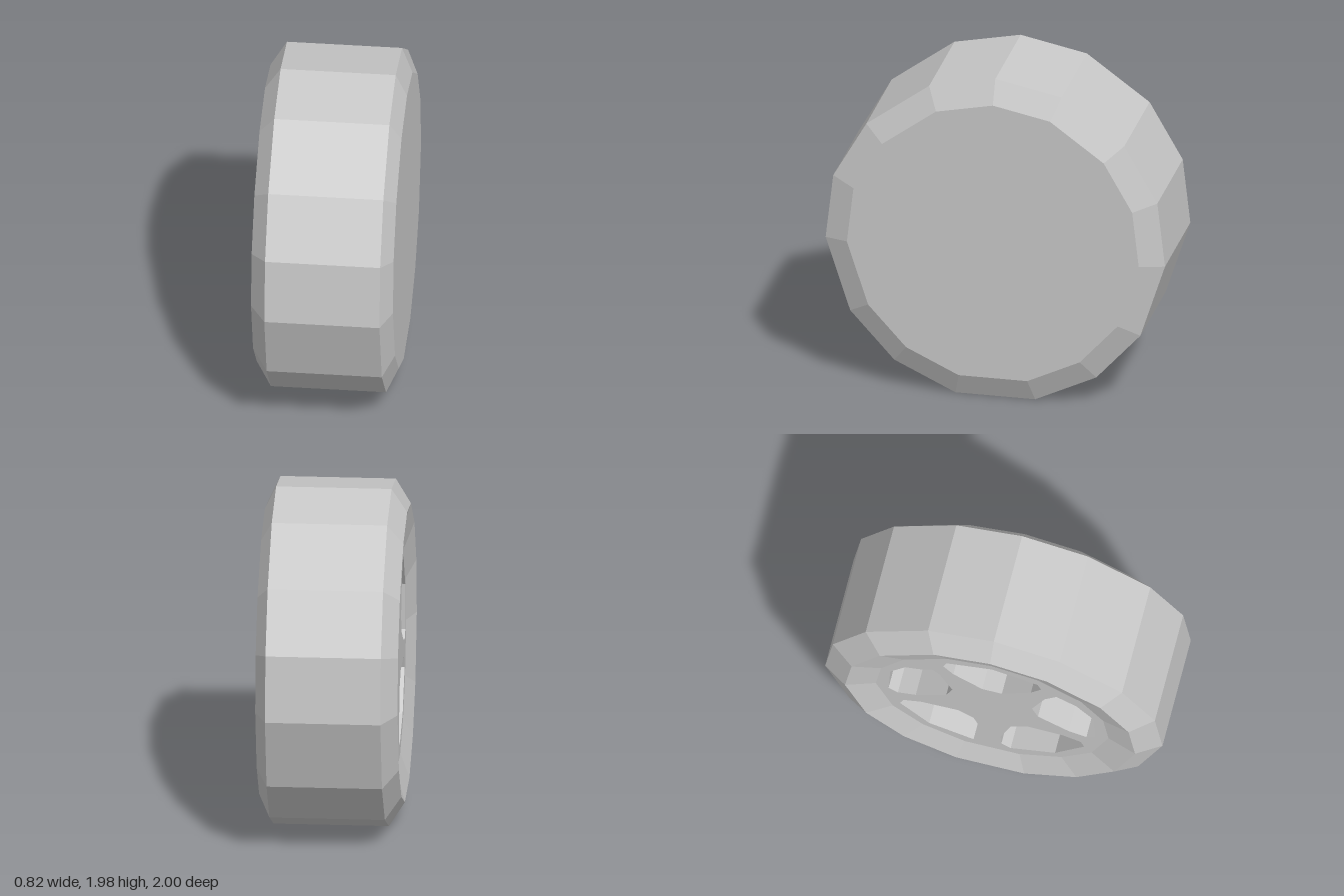
import * as THREE from 'three';

const CENTRE_Y = 0.98;

// Half of the 15-sided tread outline as [z, y - centre], top to bottom
const HALF = [[0.39, 0.92], [0.76, 0.65], [0.955, 0.31], [1, -0.08], [0.855, -0.525], [0.595, -0.81], [0.235, -0.98]];
const OUTLINE = [[0, 1], ...HALF, ...HALF.slice().reverse().map(([z, y]) => [-z, y])];

// Flat-shaded skin through scaled outlines, given as [x, scale] from +x to -x
function loft(profile) {
  const pos = [];
  const point = ([x, s], i) => {
    const [z, y] = OUTLINE[i % OUTLINE.length];
    return [x, y * s, z * s];
  };
  for (let j = 0; j < profile.length - 1; j++) {
    for (let i = 0; i < OUTLINE.length; i++) {
      const a = point(profile[j], i), b = point(profile[j], i + 1);
      const c = point(profile[j + 1], i), d = point(profile[j + 1], i + 1);
      if (profile[j][1] > 0) pos.push(...a, ...c, ...b);
      pos.push(...b, ...c, ...d);
    }
  }
  const geo = new THREE.BufferGeometry();
  geo.setAttribute('position', new THREE.Float32BufferAttribute(pos, 3));
  geo.computeVertexNormals();
  return geo;
}

// One wheel opening, between two neighbouring spokes
function windowPath(angle) {
  const half = Math.PI / 5;
  const edge = [[0.25, 0.11], [0.46, 0.05], [0.57, 0.055], [0.61, 0.11]];
  // [distance along spoke, distance from its axis] -> position, opening pointing up
  const right = edge.map(([s, w]) => [
    s * Math.sin(half) - w * Math.cos(half),
    s * Math.cos(half) + w * Math.sin(half),
  ]);
  const all = [...right, [0, 0.635], ...right.slice().reverse().map(([x, y]) => [-x, y])];
  return new THREE.Path(all.map(([x, y]) =>
    new THREE.Vector2(x, y).rotateAround(new THREE.Vector2(), angle)));
}

function outlineShape(scale) {
  return new THREE.Shape(OUTLINE.map(([z, y]) => new THREE.Vector2(z * scale, y * scale)));
}

export function createModel() {
  const grey = new THREE.MeshStandardMaterial({ color: 0xc8c8c8, flatShading: true });
  grey.name = 'light grey';
  const wheel = new THREE.Group();
  wheel.name = 'wheel';
  wheel.position.y = CENTRE_Y;

  const add = (name, geo) => {
    const mesh = new THREE.Mesh(geo, grey);
    mesh.name = name;
    wheel.add(mesh);
    return mesh;
  };

  // Closed inner side, bevelled tread and dished outer lip
  add('innerCap', loft([[0.41, 0], [0.41, 0.86]]));
  add('tyre', loft([[0.41, 0.86], [0.345, 1], [-0.32, 1], [-0.41, 0.86]]));
  add('rimLip', loft([[-0.41, 0.86], [-0.36, 0.69]]));

  // Five-spoke face with open windows
  const face = outlineShape(0.69);
  for (let i = 0; i < 5; i++) face.holes.push(windowPath(i * Math.PI * 2 / 5));
  const spokes = add('spokes', new THREE.ExtrudeGeometry(face, { depth: 0.16, bevelEnabled: false }));
  spokes.rotation.y = -Math.PI / 2;
  spokes.position.x = -0.2;

  // Plate closing the windows
  const back = add('windowBack', new THREE.ShapeGeometry(outlineShape(0.69)));
  back.rotation.y = -Math.PI / 2;
  back.position.x = -0.201;

  const model = new THREE.Group();
  model.name = 'model';
  model.add(wheel);
  return model;
}
